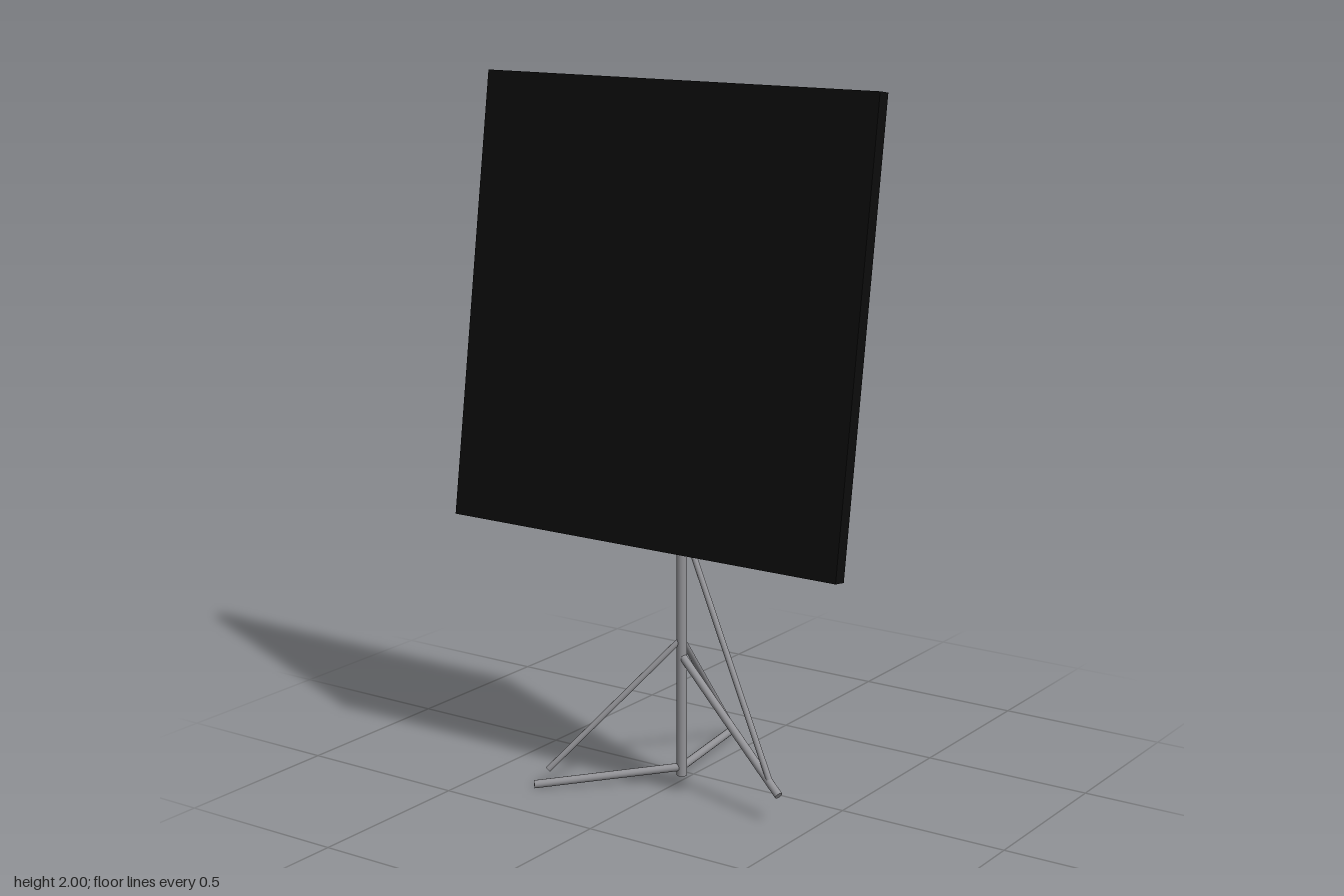
import * as THREE from 'three';

const black = new THREE.MeshStandardMaterial({ color: 0x0c0c0c });
black.name = 'matte black';
const grey = new THREE.MeshStandardMaterial({ color: 0x929296 });
grey.name = 'metal grey';

const POLE_Z = 0.06;

// Round rod between two points
function rod(name, from, to, radius, material = grey) {
  const a = new THREE.Vector3(...from);
  const b = new THREE.Vector3(...to);
  const dir = b.clone().sub(a);
  const mesh = new THREE.Mesh(new THREE.CylinderGeometry(radius, radius, dir.length(), 16), material);
  mesh.name = name;
  mesh.position.copy(a).add(b).multiplyScalar(0.5);
  mesh.quaternion.setFromUnitVectors(new THREE.Vector3(0, 1, 0), dir.normalize());
  return mesh;
}

export function createModel() {
  const model = new THREE.Group();
  model.name = 'panelOnTripod';

  // Tilted square panel
  const panel = new THREE.Mesh(new THREE.BoxGeometry(1.27, 1.266, 0.042), black);
  panel.name = 'panel';
  panel.position.set(0, 1.371, 0.167);
  panel.rotation.x = -THREE.MathUtils.degToRad(8.5);
  model.add(panel);

  // Centre pole and top clamp
  model.add(rod('pole', [0, 0.02, POLE_Z], [0, 0.74, POLE_Z], 0.015));
  model.add(rod('clamp', [0, 0.706, POLE_Z], [0, 0.77, POLE_Z], 0.036, black));

  // Each leg: hinge height and foot; each brace: top height and end near the foot
  const legs = [
    { name: 'back', hinge: 0.045, foot: [-0.097, 0.015, -0.353], top: 0.43, end: [-0.085, 0.058, -0.31] },
    { name: 'front', hinge: 0.045, foot: [-0.312, 0.015, 0.347], top: 0.43, end: [-0.282, 0.058, 0.32] },
    { name: 'side', hinge: 0.38, foot: [0.405, 0.085, 0.182], top: 0.777, end: [0.367, 0.12, 0.172] },
  ];
  for (const { name, hinge, foot, top, end } of legs) {
    const group = new THREE.Group();
    group.name = name + 'Leg';
    group.add(rod(name + 'LegTube', [0, hinge, POLE_Z], foot, 0.0115));
    group.add(rod(name + 'Brace', [0, top, POLE_Z], end, 0.0085));
    model.add(group);
  }
  return model;
}
